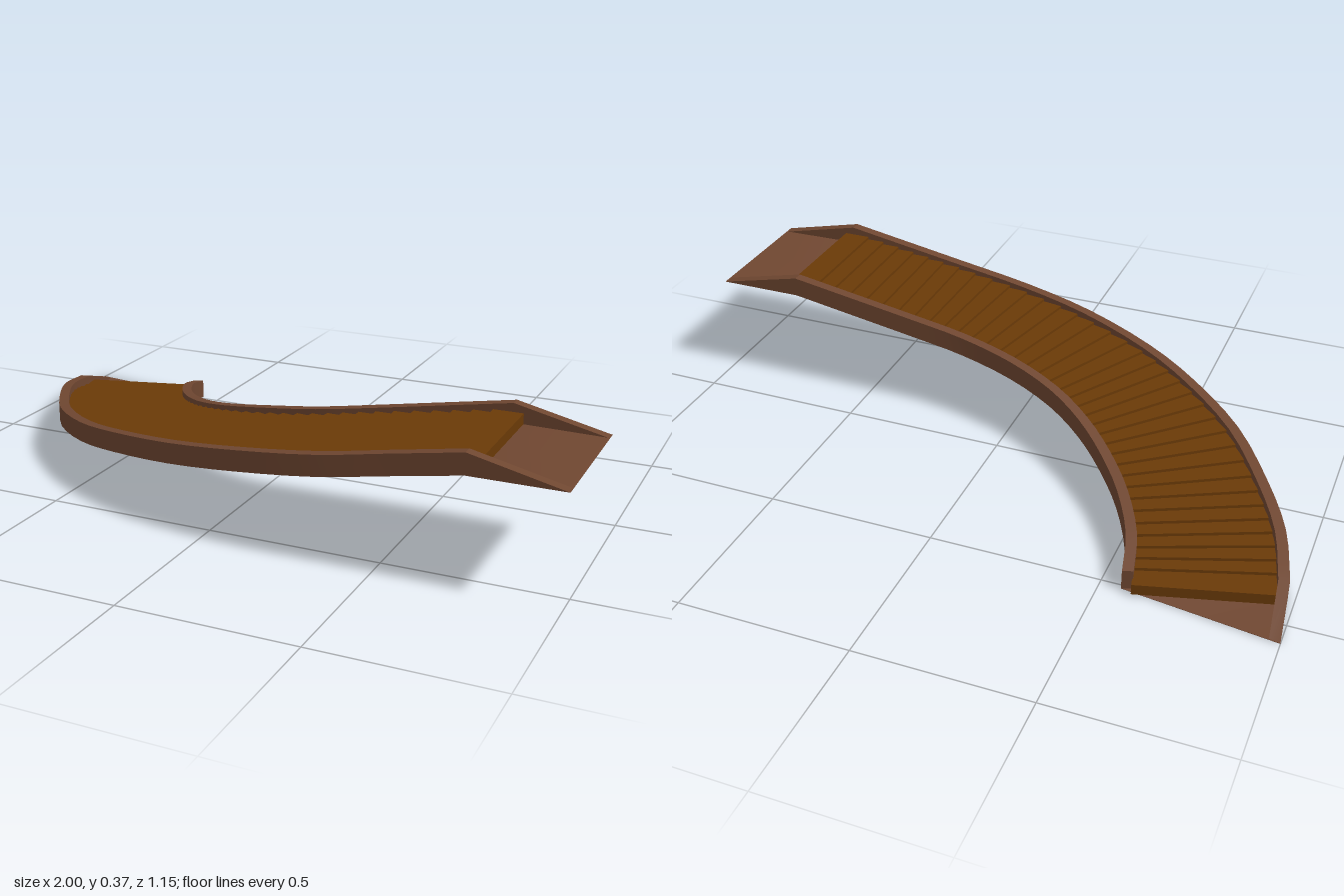
import * as THREE from 'three';
import { toCreasedNormals } from 'three/addons/utils/BufferGeometryUtils.js';

// Evenly climbing stations of the flight: inner x, z, outer x, z, base height
const FLIGHT = [
  [-0.56, -0.515, -0.98, -0.39, 0],
  [-0.53, -0.39, -0.93, -0.22, 0.03],
  [-0.46, -0.25, -0.84, -0.05, 0.057],
  [-0.37, -0.13, -0.705, 0.15, 0.085],
  [-0.27, -0.03, -0.53, 0.31, 0.115],
  [-0.15, 0.05, -0.35, 0.42, 0.147],
  [0, 0.105, -0.12, 0.51, 0.18],
  [0.17, 0.135, 0.11, 0.555, 0.21],
  [0.34, 0.137, 0.34, 0.573, 0.24],
  [0.54, 0.135, 0.54, 0.573, 0.275],
  [0.74, 0.133, 0.74, 0.573, 0.31],
];
const SPANS = FLIGHT.length - 1;
const RAIL = 0.07;        // rail width as a share of the full width
const RAIL_HEIGHT = 0.06;
const BASE = 0.005;       // base thickness
const STEPS = 36;

const vec = (x, y, z) => new THREE.Vector3(x, y, z);
const spline = points => new THREE.CatmullRomCurve3(points, false, 'catmullrom', 0.5);
const innerCurve = spline(FLIGHT.map(s => vec(s[0], s[4], s[1])));
const outerCurve = spline(FLIGHT.map(s => vec(s[2], s[4], s[3])));

// A row holds the inner and outer base points and the rail height there
const rowAt = u => ({
  inner: innerCurve.getPoint(u / SPANS), outer: outerCurve.getPoint(u / SPANS), rail: RAIL_HEIGHT });
const blend = (a, b, t) => ({
  inner: a.inner.clone().lerp(b.inner, t), outer: a.outer.clone().lerp(b.outer, t) });

// Four-cornered cross-section: inner bottom, inner top, outer top, outer bottom
function section(row, f0, f1, bottom, top) {
  const corner = (f, y) => {
    const p = row.inner.clone().lerp(row.outer, f);
    return [p.x, y, p.z];
  };
  return [corner(f0, bottom), corner(f0, top), corner(f1, top), corner(f1, bottom)];
}

// Joins sections into position triples, with both ends closed
function loft(sections, out = []) {
  const quad = (a, b, c, d) => out.push(...a, ...b, ...c, ...a, ...c, ...d);
  for (let i = 0; i < sections.length - 1; i++) {
    const p = sections[i], q = sections[i + 1];
    for (let j = 0; j < 4; j++) {
      const k = (j + 1) % 4;
      quad(p[j], p[k], q[k], q[j]);
    }
  }
  const [a, b, c, d] = sections[0];
  quad(d, c, b, a);
  quad(...sections[sections.length - 1]);
  return out;
}

function makeMesh(name, positions, material) {
  const geometry = new THREE.BufferGeometry();
  geometry.setAttribute('position', new THREE.Float32BufferAttribute(positions, 3));
  geometry.computeVertexNormals();
  const mesh = new THREE.Mesh(toCreasedNormals(geometry, 0.4), material);
  mesh.name = name;
  return mesh;
}

export function createModel() {
  const group = new THREE.Group();
  group.name = 'curvedStaircase';

  const frameWood = new THREE.MeshStandardMaterial({ color: 0x704731 });
  frameWood.name = 'frame brown';
  const stepWood = new THREE.MeshStandardMaterial({ color: 0x6a3a07 });
  stepWood.name = 'step brown';

  // Rows of the flight, with a landing at the foot and one at the head
  const flight = Array.from({ length: SPANS * 3 + 1 }, (_, i) => rowAt(i / 3));
  const foot = { inner: flight[0].inner, outer: vec(-1, 0, -0.575), rail: 0 };
  const head = { inner: vec(1, 0.31, 0.133), outer: vec(1, 0.31, 0.573), rail: 0 };
  const outerRows = [foot, ...flight, head];
  const innerRows = [...flight, head];

  // Thin sloping base with both landings
  group.add(makeMesh('base', loft(outerRows.map(r =>
    section(r, 0, 1, r.inner.y, r.inner.y + (r.rail ? BASE : 0.001)))), frameWood));

  // Side rails; only the outer one runs on along the foot landing
  const rail = (rows, f0, f1) =>
    loft(rows.map(r => section(r, f0, f1, r.inner.y, r.inner.y + r.rail)));
  group.add(makeMesh('innerRail', rail(innerRows, 0, RAIL), frameWood));
  group.add(makeMesh('outerRail', rail(outerRows, 1 - RAIL, 1), frameWood));

  // Solid steps, each a level block reaching a little under the next one
  const steps = [];
  const firstEdge = blend(rowAt(0), rowAt(0.1), -2);
  const lastEdge = blend(rowAt(SPANS), head, 0.11);
  for (let n = 0; n < STEPS; n++) {
    const top = 0.035 + 0.31 * n / (STEPS - 1);
    const front = n === 0 ? firstEdge : rowAt(SPANS * n / STEPS);
    const back = n === STEPS - 1 ? lastEdge : rowAt(SPANS * (n + 1.3) / STEPS);
    loft([front, back].map(r => section(r, RAIL * 0.9, 1 - RAIL * 0.9,
      Math.max(0, r.inner.y) + BASE * 0.8, top)), steps);
  }
  group.add(makeMesh('steps', steps, stepWood));

  return group;
}
